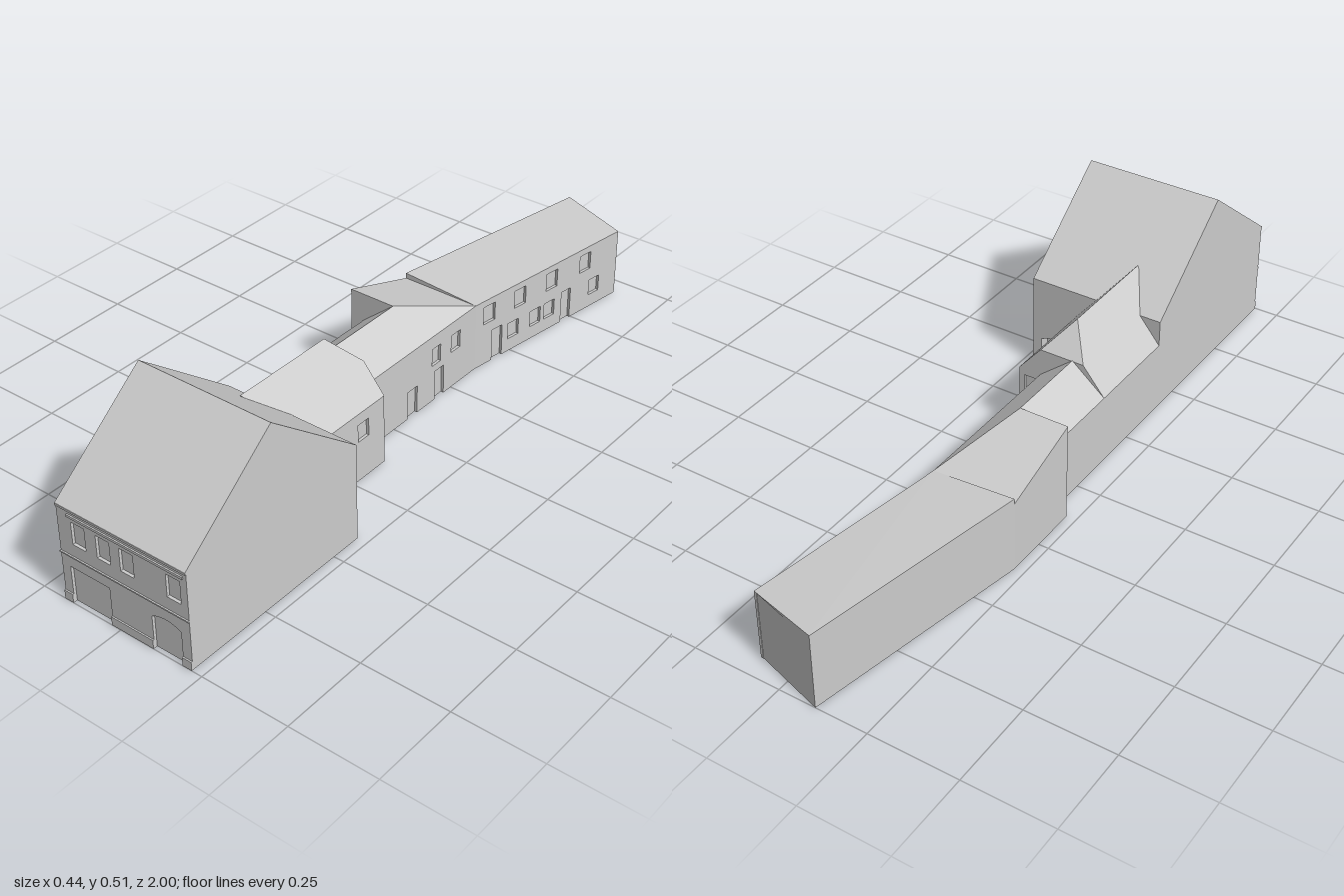
import * as THREE from 'three';
import { ConvexGeometry } from 'three/addons/geometries/ConvexGeometry.js';

const D = 0.008; // depth of window and door recesses

export function createModel() {
  const group = new THREE.Group();
  const plaster = new THREE.MeshStandardMaterial({ color: 0xcccccc });
  plaster.name = 'light grey';

  function add(name, geometry) {
    const mesh = new THREE.Mesh(geometry, plaster);
    mesh.name = name;
    group.add(mesh);
    return mesh;
  }

  // Convex solid from its corners
  const hull = (name, pts) =>
    add(name, new ConvexGeometry(pts.map((p) => new THREE.Vector3(...p))));

  // Upright block on a plan of [x, z] corners
  const block = (name, plan, y0, y1) =>
    hull(name, plan.flatMap(([x, z]) => [[x, y0, z], [x, y1, z]]));

  const rect = (x0, x1, z0, z1) => [[x0, z0], [x1, z0], [x1, z1], [x0, z1]];

  // Wall skin from a to b (left to right seen from outside).
  // doors: [u0, u1, height, arch rise], windows: [u0, u1, y0, y1]
  function wall(name, a, b, height, doors, windows, depth = D) {
    const dx = b[0] - a[0], dz = b[1] - a[1], len = Math.hypot(dx, dz);
    const s = new THREE.Shape();
    s.moveTo(0, 0);
    for (const [u0, u1, h, rise = 0] of doors) {
      s.lineTo(u0, 0);
      s.lineTo(u0, h);
      if (rise) s.quadraticCurveTo((u0 + u1) / 2, h + rise * 2, u1, h);
      else s.lineTo(u1, h);
      s.lineTo(u1, 0);
    }
    s.lineTo(len, 0);
    s.lineTo(len, height);
    s.lineTo(0, height);
    s.closePath();
    for (const [u0, u1, y0, y1] of windows) {
      const hole = new THREE.Path();
      hole.moveTo(u0, y0);
      hole.lineTo(u0, y1);
      hole.lineTo(u1, y1);
      hole.lineTo(u1, y0);
      hole.closePath();
      s.holes.push(hole);
    }
    const mesh = add(name, new THREE.ExtrudeGeometry(s, { depth, bevelEnabled: false, curveSegments: 8 }));
    mesh.rotation.y = Math.atan2(-dz, dx);
    mesh.position.set(a[0] + (dz / len) * depth, 0, a[1] - (dx / len) * depth);
  }

  // Main house: core, pierced front and rear walls, gable roof
  const F = 0.996, R = 0.03;
  block('houseCore', rect(-0.18, 0.22, 0.41 + R, F - D), 0, 0.28);
  wall('houseFrontWall', [-0.18, F], [0.22, F], 0.28,
    [[0.027, 0.152, 0.107], [0.283, 0.372, 0.096, 0.011]],
    [0.044, 0.122, 0.195, 0.337].map((u) => [u, u + 0.042, 0.18, 0.245]));
  wall('houseRearWall', [0.22, 0.41], [-0.18, 0.41], 0.28,
    [[0.028, 0.117, 0.09, 0.011]], [], R);
  const roof = [];
  for (const x of [-0.18, 0.22]) roof.push([x, 0.28, 0.41], [x, 0.28, 1], [x, 0.512, 0.705]);
  hull('houseRoof', roof);

  // Thin mouldings and plinths on the facade
  const trim = (name, x0, x1, y0, y1) => block(name, rect(x0, x1, F - 0.001, 1), y0, y1);
  trim('eaveMoulding', -0.18, 0.22, 0.275, 0.281);
  trim('cornice', -0.145, 0.21, 0.258, 0.265);
  trim('stringCourse', -0.18, 0.22, 0.14, 0.144);
  trim('cornerPlinth', -0.18, -0.153, 0, 0.025);
  trim('cornerPlinth', 0.192, 0.22, 0, 0.025);
  trim('middlePlinth', -0.028, 0.103, 0, 0.025);

  // Half-hipped wing behind the house
  block('wingCore', rect(-0.18, 0.08 - D, 0.125 + D, 0.42), 0, 0.205);
  wall('wingSideWall', [0.08, 0.41], [0.08, 0.125], 0.205,
    [[0.112, 0.158, 0.08]], [[0.035, 0.08, 0.12, 0.172], [0.18, 0.222, 0.12, 0.172]]);
  wall('wingEndWall', [0.08, 0.125], [0.015, 0.125], 0.205,
    [[0.012, 0.05, 0.085]], [[0.015, 0.048, 0.135, 0.185]]);
  const wingRoof = [[-0.05, 0.362, 0.2], [-0.05, 0.362, 0.51]];
  for (const z of [0.125, 0.41]) {
    wingRoof.push([-0.18, 0.205, z], [0.08, 0.205, z], [-0.115, 0.2835, z], [0.015, 0.2835, z]);
  }
  hull('wingRoof', wingRoof);

  // Low link with a gable roof
  block('linkCore', rect(-0.18, 0.015 - D, -0.12, 0.125 + D), 0, 0.205);
  const linkRoof = [];
  for (const z of [-0.12, 0.126]) {
    linkRoof.push([-0.18, 0.205, z], [0.015, 0.205, z], [-0.082, 0.286, z]);
  }
  hull('linkRoof', linkRoof);

  // Wider joint whose roof falls to the rear
  block('jointCore', rect(-0.222, 0.015 - D, -0.36, -0.12), 0, 0.205);
  hull('jointRoof', [
    [-0.222, 0.205, -0.12], [0.015, 0.205, -0.12], [0.015, 0.205, -0.36], [-0.222, 0.205, -0.36],
    [-0.222, 0.286, -0.12], [-0.082, 0.286, -0.12],
  ]);
  wall('linkSideWall', [0.015, 0.125], [0.015, -0.36], 0.205,
    [[0.184, 0.225, 0.085], [0.302, 0.342, 0.09]],
    [[0.29, 0.327, 0.112, 0.165], [0.375, 0.415, 0.112, 0.165]]);

  // Long angled rear range with a shallow pent roof
  const a = [0.015, -0.36], b = [0.102, -0.94];
  const outer = [[-0.105, -1], [-0.222, -0.36]];
  block('rearCore', [[a[0] - D, a[1]], [b[0] - D, b[1]], ...outer], 0, 0.205);
  wall('rearSideWall', a, b, 0.205,
    [[0.068, 0.108, 0.098], [0.352, 0.39, 0.098]],
    [
      ...[0.032, 0.155, 0.285, 0.425].map((u) => [u, u + 0.045, 0.13, 0.185]),
      ...[0.132, 0.222, 0.28, 0.47].map((u) => [u, u + 0.042, 0.04, 0.09]),
    ]);
  hull('rearRoof', [
    ...[a, b, ...outer].map(([x, z]) => [x, 0.205, z]),
    ...outer.map(([x, z]) => [x, 0.221, z]),
  ]);

  return group;
}
